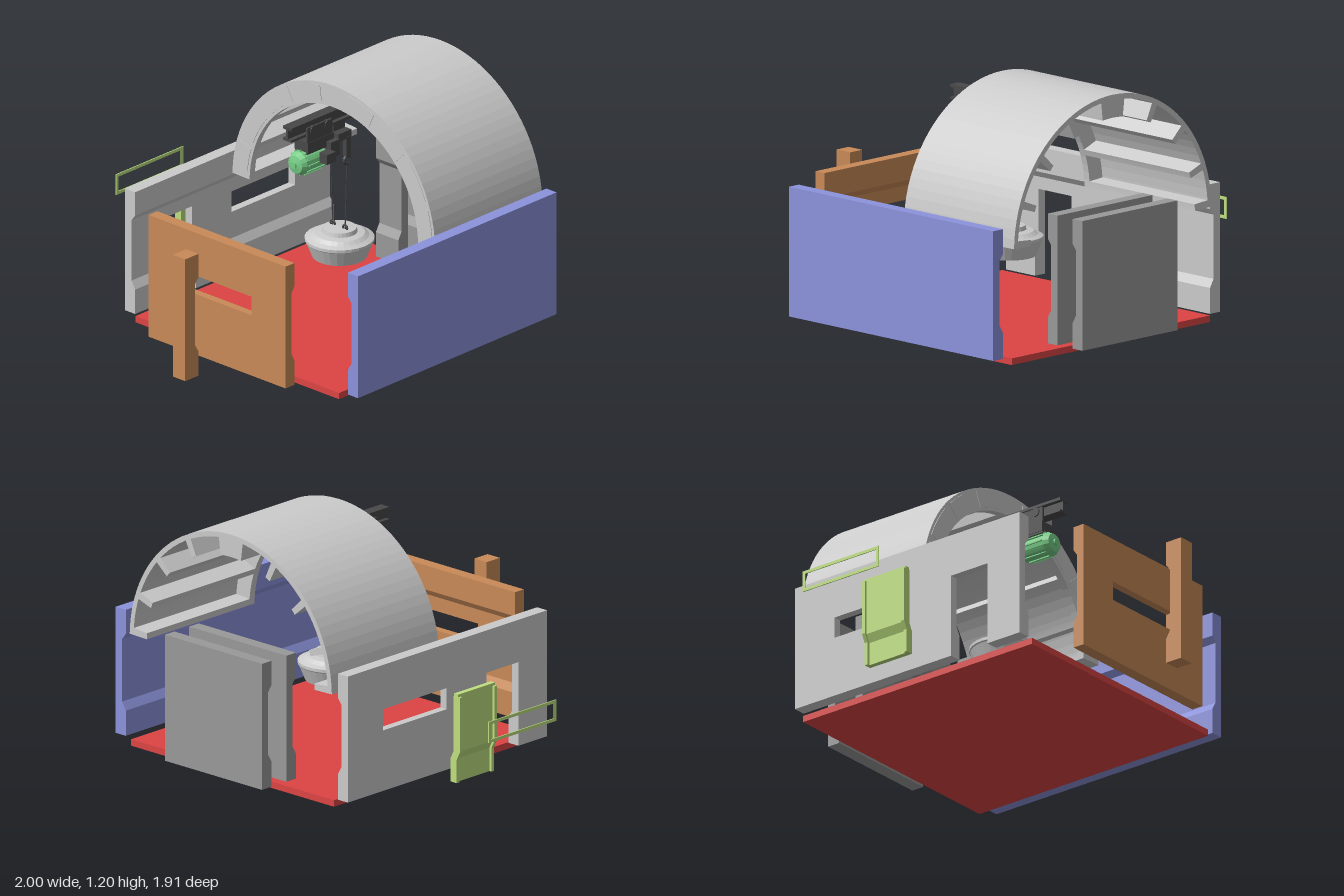
import * as THREE from 'three';

const mat = (color) => new THREE.MeshStandardMaterial({ color, flatShading: true, side: THREE.DoubleSide });
const grey = mat(0xcccccc), darkGrey = mat(0x999999), red = mat(0xdd4444), blue = mat(0x8c93dc),
  orange = mat(0xc98a58), lime = mat(0xbfe080), black = mat(0x484848), green = mat(0x78d088);
const CX = 0.228;

function add(parent, name, geometry, material, x = 0, y = 0, z = 0) {
  const mesh = new THREE.Mesh(geometry, material);
  mesh.name = name;
  mesh.position.set(x, y, z);
  parent.add(mesh);
  return mesh;
}
// box given by its min and max on each axis
function box(parent, name, material, x0, x1, y0, y1, z0, z1) {
  return add(parent, name, new THREE.BoxGeometry(x1 - x0, y1 - y0, z1 - z0), material,
    (x0 + x1) / 2, (y0 + y1) / 2, (z0 + z1) / 2);
}
function polygon(points) {
  return new THREE.Shape(points.map(([x, y]) => new THREE.Vector2(x, y)));
}
function extrude(shape, depth, curveSegments = 12) {
  return new THREE.ExtrudeGeometry(shape, { depth, bevelEnabled: false, curveSegments });
}

// Wall slabs: thick at foot and head, recessed on the inner side between them.
const Y0 = 0.035, Y1 = 0.66;
const wallProfile = (thick, thin) => [[Y0, thick], [0.16, thick], [0.2, thin], [0.51, thin], [0.54, thick], [Y1, thick]];
function depthAt(profile, y) {
  for (let i = 1; i < profile.length; i++) {
    const [ya, da] = profile[i - 1], [yb, db] = profile[i];
    if (y <= yb) return da + (db - da) * (y - ya) / (yb - ya);
  }
  return profile[profile.length - 1][1];
}
// pieces: [start, end, bottom, top] along the wall, leaving openings between them
function wall(parent, name, material, pieces, profile = wallProfile(0.065, 0.042)) {
  const group = new THREE.Group();
  group.name = name;
  for (const [a, b, lo = Y0, hi = Y1] of pieces) {
    const ys = [lo, ...profile.map((p) => p[0]).filter((y) => y > lo && y < hi), hi];
    const shape = polygon([[0, lo], ...ys.map((y) => [depthAt(profile, y), y]), [0, hi]]);
    add(group, name + 'Slab', extrude(shape, b - a), material, 0, 0, a);
  }
  parent.add(group);
  return group;
}

function buildWalls(root) {
  wall(root, 'sideWall', grey, [
    [-0.815, -0.575], [-0.575, -0.14, Y0, 0.335], [-0.575, -0.14, 0.44, Y1],
    [-0.14, 0.13], [0.13, 0.35, 0.45, Y1], [0.35, 0.545],
  ]).position.x = -0.508;

  const opposite = wall(root, 'oppositeWall', blue, [[-0.545, 0.815]]);
  opposite.position.x = 0.998;
  opposite.rotation.y = Math.PI;

  const front = wall(root, 'frontWall', orange, [
    [-0.215, 0.005], [0.005, 0.45, Y0, 0.345], [0.005, 0.45, 0.44, Y1], [0.45, 0.672],
  ], wallProfile(0.06, 0.04));
  front.position.z = 0.695;
  front.rotation.y = Math.PI / 2;

  const post = wall(root, 'frontPost', orange, [[0.19, 0.27]], wallProfile(0.09, 0.066));
  post.position.z = 0.957;
  post.rotation.y = Math.PI / 2;

  const back = wall(root, 'backWall', darkGrey, [[-0.545, -0.4], [-0.4, -0.06, 0.5, Y1], [-0.06, 0.085]]);
  back.position.z = -0.79;
  back.rotation.y = -Math.PI / 2;

  const panel = wall(root, 'backPanel', darkGrey, [[-0.545, 0.085]]);
  panel.position.z = -0.956;
  panel.rotation.y = -Math.PI / 2;
}

function buildDoor(root) {
  // leaf kinked to follow the wall recess, with a wider bar on each edge
  const bent = (x0, x1, top) => polygon([
    [x0 + 0.02, Y0], [x1 + 0.02, Y0], [x1 + 0.02, 0.15], [x1, 0.19], [x1, top], [x0, top], [x0, 0.19], [x0 + 0.02, 0.15],
  ]);
  add(root, 'doorLeaf', extrude(bent(-0.687, -0.66, 0.475), 0.25), lime, 0, 0, -0.25);
  for (const z of [-0.253, -0.017]) add(root, 'doorEdge', extrude(bent(-0.7, -0.66, 0.462), 0.018), lime, 0, 0, z);
}

function buildWindowFrame(root) {
  const shape = polygon([[-0.23, 0.335], [0.23, 0.335], [0.23, 0.44], [-0.23, 0.44]]);
  shape.holes.push(polygon([[-0.215, 0.35], [-0.215, 0.425], [0.215, 0.425], [0.215, 0.35]]));
  add(root, 'windowFrame', extrude(shape, 0.005), lime, -1, 0, -0.14).rotation.y = Math.PI / 2;
}

function ringSector(r0, r1, a0, a1, depth, steps) {
  const s = new THREE.Shape();
  s.absarc(0, 0, r1, a0, a1, false);
  s.absarc(0, 0, r0, a1, a0, true);
  return extrude(s, depth, steps);
}

function buildArch(root) {
  const arch = new THREE.Group();
  arch.name = 'archRoof';
  arch.position.set(CX, 0.545, 0);
  const deg = Math.PI / 180, R = 0.656, r = 0.545, start = 1.2 * deg, end = Math.PI - start;
  add(arch, 'archShell', ringSector(R - 0.025, R, start, end, 0.735, 22), grey, 0, 0, -0.84);
  add(arch, 'archFrontRing', ringSector(r, R, start, end, 0.035, 22), grey, 0, 0, -0.14);
  // lengthwise ribs, the widest one at the crown
  for (const [mid, half] of [[0, 7], [26, 1.6], [48, 1.6], [70, 1.6], [87.2, 1.6]]) {
    for (const side of mid ? [-1, 1] : [1]) {
      const a = (90 + side * mid) * deg;
      add(arch, mid ? 'archRib' : 'crownBeam',
        ringSector(r, R - 0.01, a - half * deg, a + half * deg, 0.715, 2), grey, 0, 0, -0.84);
    }
  }
  // shallow panels on the front ring between the ribs
  for (const [a, b] of [[8, 24], [28, 46], [50, 68], [72, 85]]) {
    for (const side of [-1, 1]) {
      const ends = [90 + side * a, 90 + side * b].sort((p, q) => p - q);
      add(arch, 'archPanel', ringSector(r + 0.015, R - 0.015, ends[0] * deg, ends[1] * deg, 0.004, 3), grey, 0, 0, -0.106);
    }
  }
  root.add(arch);
}

function buildHoist(root) {
  const hoist = new THREE.Group();
  hoist.name = 'hoist';
  const dark = (name, ...b) => box(hoist, name, black, ...b);
  // I-section rail
  dark('railTop', 0.2, 0.256, 1.076, 1.09, -0.53, 0.215);
  dark('railWeb', 0.222, 0.234, 1.03, 1.08, -0.53, 0.215);
  dark('railBottom', 0.2, 0.256, 1.018, 1.03, -0.53, 0.215);
  // trolley and gear housing
  for (const x of [0.188, 0.26]) dark('trolleyPlate', x, x + 0.01, 0.93, 1.065, -0.05, 0.12);
  dark('trolleyBody', 0.185, 0.272, 0.94, 0.99, -0.06, 0.12);
  dark('gearHousing', 0.19, 0.3, 0.88, 0.96, -0.07, -0.01);
  dark('controlBox', 0.29, 0.34, 0.88, 0.93, 0.0, 0.06);
  dark('sideBracket', 0.155, 0.19, 0.93, 0.99, -0.11, -0.04);
  for (const z of [-0.02, 0.08]) {
    for (const x of [0.19, 0.266]) add(hoist, 'trolleyWheel',
      new THREE.CylinderGeometry(0.022, 0.022, 0.016, 12), black, x, 1.045, z).rotation.z = Math.PI / 2;
  }
  // motor with cooling fins and a fan cover
  const profile = [[0, -0.095], [0.045, -0.095], [0.058, -0.075], [0.058, 0.06], [0.045, 0.085], [0, 0.095]]
    .map(([x, y]) => new THREE.Vector2(x, y));
  add(hoist, 'motor', new THREE.LatheGeometry(profile, 16), green, CX, 0.88, 0.075).rotation.x = Math.PI / 2;
  for (let i = 0; i < 12; i++) {
    const a = i * Math.PI / 6;
    add(hoist, 'motorFin', new THREE.BoxGeometry(0.012, 0.007, 0.12), green,
      CX + Math.cos(a) * 0.058, 0.88 + Math.sin(a) * 0.058, 0.07).rotation.z = a;
  }
  add(hoist, 'fanHub', new THREE.CylinderGeometry(0.016, 0.016, 0.01, 12), green, CX, 0.88, 0.17).rotation.x = Math.PI / 2;
  // cross beam, two hanging hooks and their chains
  dark('crossBeam', 0.17, 0.29, 0.94, 0.98, -0.16, -0.07);
  dark('beamHanger', 0.205, 0.25, 0.97, 1.02, -0.16, -0.08);
  for (const side of [-1, 1]) {
    const x = CX + side * 0.052;
    dark('hookStem', x - 0.012, x + 0.012, 0.85, 0.95, -0.155, -0.125);
    add(hoist, 'hook', new THREE.TorusGeometry(0.02, 0.008, 6, 12, Math.PI * 1.5), black, x, 0.828, -0.14).rotation.y = Math.PI / 2;
    const path = new THREE.LineCurve3(new THREE.Vector3(x, 0.82, -0.14), new THREE.Vector3(CX + side * 0.04, 0.46, -0.14));
    add(hoist, 'chain', new THREE.TubeGeometry(path, 1, 0.003, 5), black);
  }
  root.add(hoist);
}

function buildTub(root) {
  // tapered tub with a stepped lid
  const profile = [[0, 0.32], [0.13, 0.32], [0.16, 0.395], [0.165, 0.4], [0.165, 0.415], [0.14, 0.425],
    [0.12, 0.44], [0.085, 0.445], [0.08, 0.465], [0, 0.47]].map(([x, y]) => new THREE.Vector2(x, y));
  add(root, 'tub', new THREE.LatheGeometry(profile, 28), grey, CX, 0, -0.145);
  for (const side of [-1, 1]) add(root, 'tubLug',
    new THREE.TorusGeometry(0.014, 0.005, 6, 10), black, CX + side * 0.04, 0.474, -0.14);
}

export function createModel() {
  const root = new THREE.Group();
  root.name = 'explodedChamber';
  box(root, 'floor', red, -0.43, 0.887, 0, 0.032, -0.828, 0.556);
  buildWalls(root);
  buildDoor(root);
  buildWindowFrame(root);
  buildArch(root);
  buildHoist(root);
  buildTub(root);
  return root;
}
